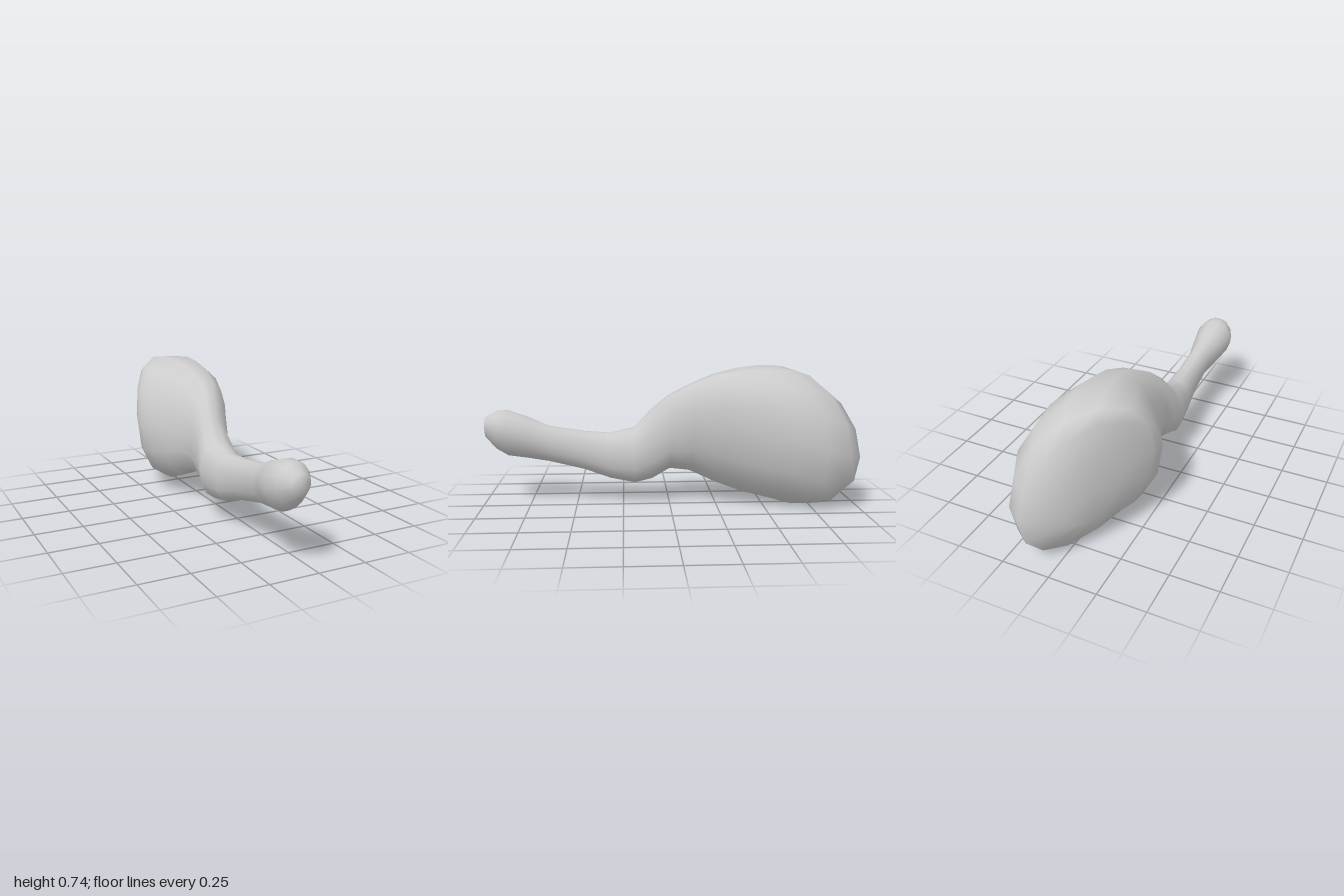
import * as THREE from 'three';

const SIDES = 14;

// Cross-sections from the bone tip to the cut end:
// [x at -x edge, z there, x at +x edge, z there, top y, bottom y, tilt of y across, lean of x upwards]
const SECTIONS = [
  [-0.15, 0.99, -0.05, 0.99, 0.46, 0.35, 0, 0],
  [-0.19, 0.93, -0.01, 0.93, 0.495, 0.285, 0, 0],
  [-0.205, 0.87, 0.01, 0.87, 0.497, 0.25, 0, 0],
  [-0.18, 0.76, -0.005, 0.76, 0.46, 0.235, 0, 0],
  [-0.145, 0.65, -0.02, 0.65, 0.413, 0.218, 0, 0],
  [-0.145, 0.46, -0.015, 0.46, 0.383, 0.173, 0, 0],
  [-0.16, 0.32, 0, 0.32, 0.372, 0.122, 0, 0],
  [-0.18, 0.18, 0.035, 0.19, 0.405, 0.097, 0, 0],
  [-0.16, 0.1, 0.035, 0.09, 0.505, 0.12, 0, 0],
  [-0.155, 0.01, 0.07, -0.01, 0.585, 0.178, 0, 0.015],
  [-0.165, -0.09, 0.115, -0.12, 0.645, 0.165, 0, 0.035],
  [-0.205, -0.2, 0.17, -0.28, 0.702, 0.1, 0, 0.04],
  [-0.255, -0.29, 0.225, -0.46, 0.73, 0.05, -0.01, 0.035],
  [-0.285, -0.35, 0.275, -0.64, 0.74, 0.025, -0.02, 0.02],
  [-0.29, -0.4, 0.285, -0.8, 0.735, 0.002, -0.045, 0],
  [-0.28, -0.44, 0.23, -0.93, 0.715, 0.003, -0.08, -0.01],
  [-0.25, -0.5, 0.14, -1.0, 0.665, 0.045, -0.09, -0.01],
  [-0.2, -0.59, -0.01, -0.88, 0.5, 0.18, -0.05, 0],
];

// Rounded power keeps the sections slightly fuller than an ellipse
const full = (v) => Math.sign(v) * Math.abs(v) ** 0.96;

function loft(sections, startPoint, endPoint) {
  const positions = [];
  const index = [];
  for (const [xl, zl, xr, zr, top, bottom, tilt, lean] of sections) {
    // The bone knob narrows towards its underside
    const pinch = zl > 0.5 ? 0.25 : 0;
    for (let i = 0; i < SIDES; i++) {
      const a = (i / SIDES) * Math.PI * 2;
      const s = full(Math.sin(a));
      const c = full(Math.cos(a)) * (1 + pinch * Math.min(s, 0));
      positions.push(
        (xl + xr) / 2 + (c * (xr - xl)) / 2 + s * lean,
        (top + bottom) / 2 + (s * (top - bottom)) / 2 + c * tilt,
        (zl + zr) / 2 + (c * (zr - zl)) / 2
      );
    }
  }
  const start = sections.length * SIDES;
  const last = start - SIDES;
  positions.push(...startPoint, ...endPoint);
  for (let i = 0; i < SIDES; i++) {
    const j = (i + 1) % SIDES;
    for (let r = 0; r < last; r += SIDES) {
      index.push(r + i, r + SIDES + i, r + j);
      index.push(r + j, r + SIDES + i, r + SIDES + j);
    }
    index.push(start, i, j, start + 1, last + j, last + i);
  }
  const geometry = new THREE.BufferGeometry();
  geometry.setAttribute('position', new THREE.Float32BufferAttribute(positions, 3));
  geometry.setIndex(index);
  geometry.computeVertexNormals();
  return geometry;
}

export function createModel() {
  const group = new THREE.Group();
  group.name = 'drumstick';

  // One continuous skin: bone knob, shank, knuckle and thigh with a flattened oblique end
  const body = new THREE.Mesh(
    loft(SECTIONS, [-0.1, 0.405, 1.0], [-0.11, 0.34, -0.75]),
    new THREE.MeshStandardMaterial({ color: 0xcccccc })
  );
  body.name = 'drumstickBody';
  group.add(body);
  return group;
}
